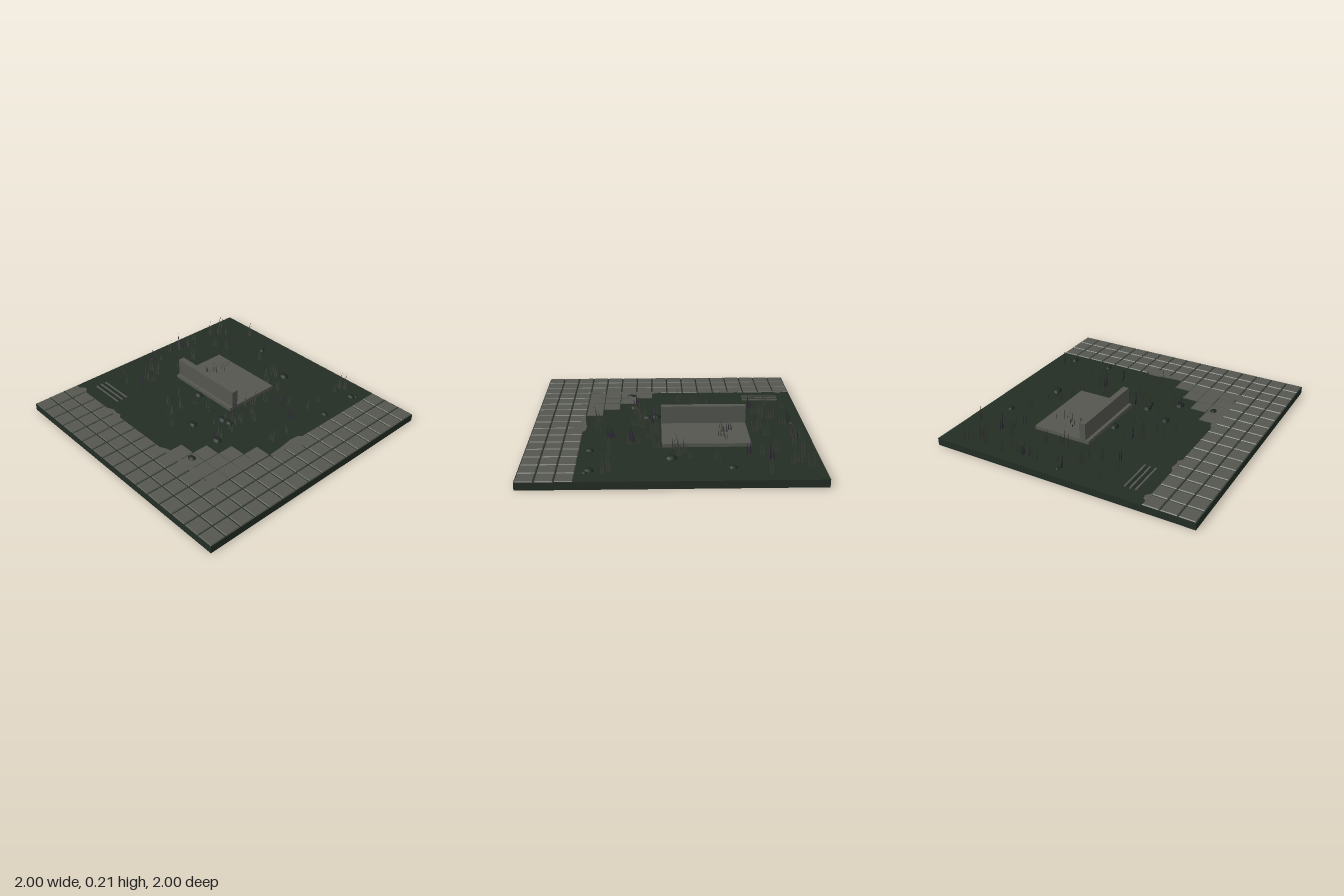
import * as THREE from 'three';
import { mergeGeometries } from 'three/addons/utils/BufferGeometryUtils.js';

const mat = (name, color, double) => {
  const m = new THREE.MeshStandardMaterial({ color });
  m.name = name;
  if (double) m.side = THREE.DoubleSide;
  return m;
};

function seeded(seed) {
  return () => {
    seed = (seed * 16807) % 2147483647;
    return seed / 2147483647;
  };
}

export function createModel() {
  const group = new THREE.Group();
  const soil = mat('dark green soil', 0x232e24);
  const stone = mat('grey paving stone', 0x54564f);
  const rock = mat('mossy rock', 0x1f2822);
  const grass = mat('dry grass', 0x3c3f38, true);
  const purple = mat('purple grass', 0x30223a, true);
  const rand = seeded(4711);
  const GROUND = 0.054, TOP = 0.06, P = 0.125;

  const add = (name, geometry, material) => {
    const mesh = new THREE.Mesh(geometry, material);
    mesh.name = name;
    group.add(mesh);
    return mesh;
  };
  const box = (x0, x1, y0, y1, z0, z1) =>
    new THREE.BoxGeometry(x1 - x0, y1 - y0, z1 - z0)
      .translate((x0 + x1) / 2, (y0 + y1) / 2, (z0 + z1) / 2);

  // Ground slab
  add('ground', box(-1, 1, 0, GROUND, -1, 1), soil);

  // Bevelled tiles of the L-shaped path, and flat ones on the stepped corner
  const bevelTile = (x, z) => {
    const g = new THREE.CylinderGeometry(0.054 * Math.SQRT2, 0.06 * Math.SQRT2, TOP - GROUND + 0.002, 4, 1)
      .rotateY(Math.PI / 4).toNonIndexed();
    g.computeVertexNormals();
    return g.translate(x, (TOP + GROUND - 0.002) / 2, z);
  };
  const pathTiles = [], stepTiles = [];
  for (let i = 0; i < 16; i++) {
    for (let j = 0; j < 16; j++) {
      const x = -1 + (i + 0.5) * P, z = -1 + (j + 0.5) * P;
      if (i >= 13 || j >= 13) pathTiles.push(bevelTile(x, z));
      else if (j >= 9 && i + j >= 21)
        stepTiles.push(box(x - 0.06, x + 0.06, GROUND - 0.002, TOP - 0.001, z - 0.06, z + 0.06));
    }
  }
  add('pathTiles', mergeGeometries(pathTiles), stone);
  add('cornerTiles', mergeGeometries(stepTiles), stone);

  // Worn, ragged patches along the inner edges of the path
  const patch = (name, pts) => {
    const shape = new THREE.Shape(pts.map(([x, z]) => new THREE.Vector2(x, -z)));
    const g = new THREE.ExtrudeGeometry(shape, { depth: 0.005, bevelEnabled: false });
    add(name, g.rotateX(-Math.PI / 2).translate(0, TOP - 0.0045, 0), stone);
  };
  patch('wornEdgeRight', [[0.64, -0.21], [0.61, -0.17], [0.605, -0.1], [0.62, 0], [0.628, 0.12],
    [0.65, 0.12], [0.66, -0.03], [0.67, -0.11], [0.73, -0.13], [0.7, -0.17]]);
  patch('wornEdgeFrontLeft', [[-0.96, 0.64], [-0.93, 0.605], [-0.9, 0.605], [-0.86, 0.64]]);
  patch('wornEdgeFrontMiddle', [[-0.6, 0.64], [-0.54, 0.61], [-0.49, 0.618], [-0.45, 0.61], [-0.42, 0.64]]);
  patch('wornEdgeFrontRight', [[0.04, 0.64], [0.08, 0.615], [0.14, 0.6], [0.46, 0.61], [0.48, 0.66],
    [0.52, 0.66], [0.54, 0.61], [0.63, 0.61], [0.63, 0.64]]);

  // Stone platform with an upright wall along its front
  add('platform', box(-0.56, 0.06, GROUND - 0.002, 0.08, -0.475, -0.025), stone);
  add('wall', box(-0.56, 0.06, 0.07, 0.21, -0.098, -0.05), stone);

  // Low grating set into the ground
  const bars = [0.443, 0.483, 0.524].map((z) => box(-0.88, -0.6, GROUND - 0.002, 0.062, z - 0.006, z + 0.006));
  add('gratingBars', mergeGeometries(bars), stone);
  add('gratingBed', box(-0.87, -0.61, GROUND - 0.002, 0.056, 0.44, 0.53), rock);

  // Flat rocks: x, z, radius
  const rocks = [
    [-0.4, -0.81, 0.03], [0.54, -0.84, 0.036], [0.565, -0.87, 0.02], [0, -0.66, 0.042],
    [0.555, -0.52, 0.03], [-0.91, -0.05, 0.02], [-0.26, 0.01, 0.039], [-0.05, 0.085, 0.013],
    [0.1, 0.09, 0.042], [0.16, 0.08, 0.034], [0, 0.29, 0.038], [0.255, 0.285, 0.042], [0.29, 0.545, 0.033],
  ];
  const rockProfile = [[1, -0.1], [0.95, 0.25], [0.65, 0.48], [0.3, 0.55], [0, 0.56]]
    .map(([r, y]) => new THREE.Vector2(r, y));
  for (const [x, z, r] of rocks) {
    const m = add('rock', new THREE.LatheGeometry(rockProfile, 10), rock);
    m.scale.set(r, r * 0.95, r * 0.78);
    m.position.set(x, GROUND, z);
  }

  // Grass: flat leaning blades facing the front, gathered in tufts
  const blade = (x, z, h, w) => {
    const lean = h * (0.08 + rand() * 0.1);
    const s = new THREE.Shape([
      new THREE.Vector2(-w, 0), new THREE.Vector2(w, 0),
      new THREE.Vector2(w * 0.5 + lean * 0.4, h * 0.5), new THREE.Vector2(lean, h),
      new THREE.Vector2(-w * 0.5 + lean * 0.4, h * 0.5),
    ]);
    return new THREE.ShapeGeometry(s).translate(x, GROUND, z);
  };
  const dry = [], dark = [];
  const tuft = (x, z, i) => {
    const n = 2 + Math.floor(rand() * 2);
    for (let k = 0; k < n; k++) {
      const b = blade(x + (k - 1) * 0.018, z + (rand() - 0.5) * 0.02,
        0.06 + rand() * 0.08, 0.004 + rand() * 0.004);
      (i % 7 === 3 ? dark : dry).push(b);
    }
  };
  // Areas of grass: xMin, xMax, zMin, zMax, tufts
  const areas = [
    [-0.93, -0.6, -0.85, 0.35, 26], [-0.55, 0.04, -0.7, -0.5, 6], [-0.5, 0, -0.42, -0.15, 5],
    [-0.52, 0.04, 0.05, 0.42, 9], [0.08, 0.3, -0.5, 0.3, 18], [0.4, 0.44, -0.88, -0.2, 4],
    [0.51, 0.52, -0.25, 0, 2],
  ];
  for (const [x0, x1, z0, z1, n] of areas)
    for (let i = 0; i < n; i++) tuft(x0 + rand() * (x1 - x0), z0 + ((i + rand()) / n) * (z1 - z0), i);
  // Taller single tufts
  for (const [x, z] of [[-0.65, -0.9], [-0.88, -0.3], [0.4, -0.86], [0.44, -0.88]])
    dry.push(blade(x, z, 0.15, 0.008), blade(x + 0.015, z, 0.11, 0.006));
  add('grassBlades', mergeGeometries(dry), grass);
  add('purpleBlades', mergeGeometries(dark), purple);

  return group;
}
